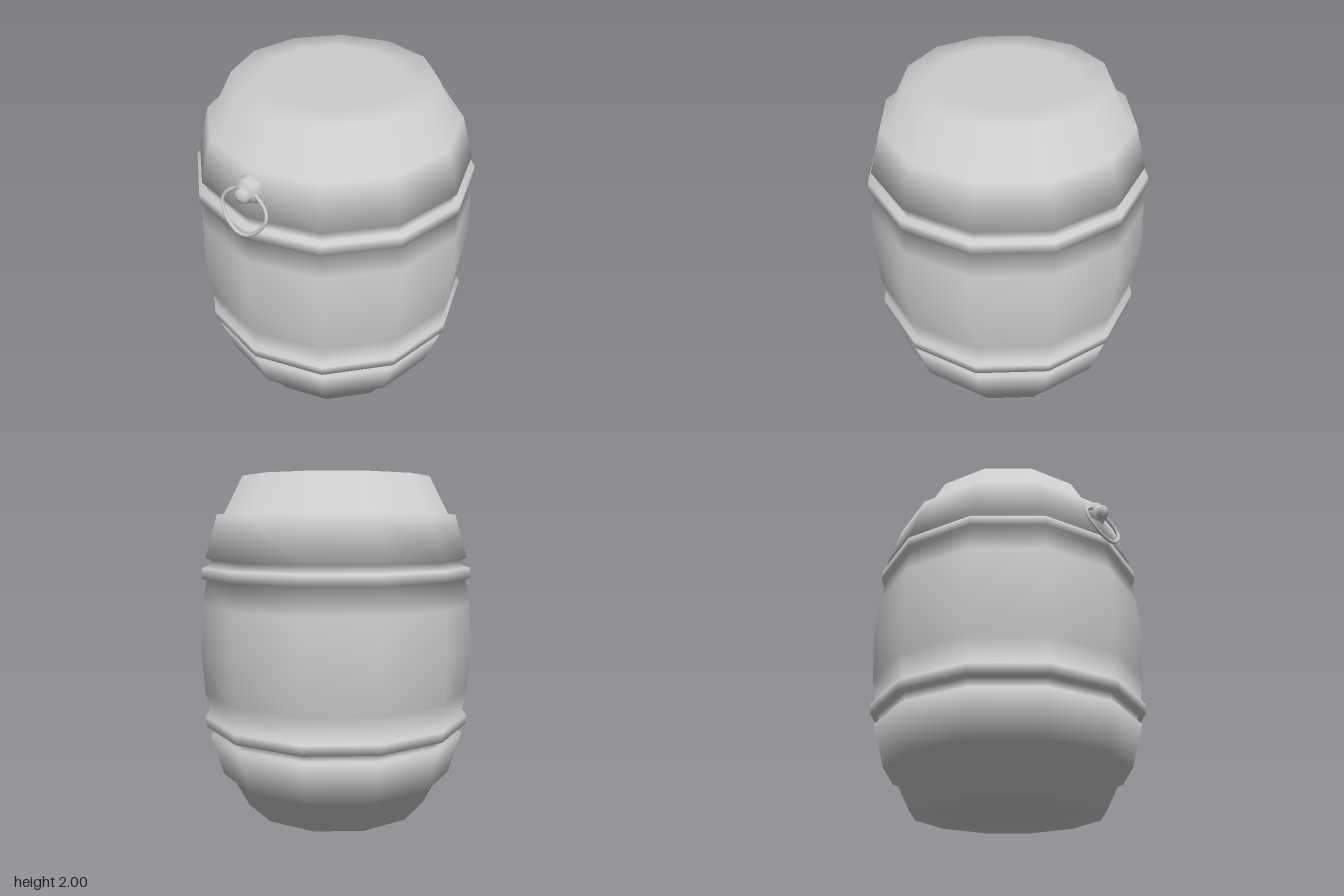
import * as THREE from 'three';

const material = new THREE.MeshStandardMaterial({ color: 0xcccccc });

// Lathe whose normals average neighbouring profile faces equally, so narrow ledges shade softly
function softLathe(profile, sides) {
  const geometry = new THREE.LatheGeometry(profile.map(([r, y]) => new THREE.Vector2(r, y)), sides);
  const faceNormals = profile.slice(1).map(([r, y], i) =>
    new THREE.Vector2(y - profile[i][1], profile[i][0] - r).normalize());
  const count = profile.length;
  const normal = geometry.attributes.normal;
  for (let i = 0; i <= sides; i++) {
    const angle = (i / sides) * Math.PI * 2;
    for (let j = 0; j < count; j++) {
      const n = faceNormals[Math.max(j - 1, 0)].clone()
        .add(faceNormals[Math.min(j, count - 2)]).normalize();
      normal.setXYZ(i * count + j, n.x * Math.sin(angle), n.y, n.x * Math.cos(angle));
    }
  }
  return geometry;
}

function addMesh(parent, name, geometry) {
  const mesh = new THREE.Mesh(geometry, material);
  mesh.name = name;
  parent.add(mesh);
  return mesh;
}

export function createModel() {
  const model = new THREE.Group();
  model.name = 'barrel';

  // Lower half of the cask: end cap, chamfer, wide hoop, narrow hoop, bulging staves
  const lower = [
    [0, 0], [0.4, 0], [0.56, 0], [0.673, 0.22],
    [0.713, 0.22], [0.785, 0.468], [0.757, 0.48],
    [0.765, 0.527], [0.808, 0.527], [0.812, 0.587],
    [0.783, 0.597], [0.81, 0.74],
  ];
  const upper = lower.map(([r, y]) => [r, 2 - y]).reverse();
  addMesh(model, 'caskWithHoops', softLathe([...lower, [0.827, 1], ...upper], 12));

  // Handle on the front of the upper hoop
  const handle = new THREE.Group();
  handle.name = 'ringHandle';
  model.add(handle);

  // Stepped boss that holds the ring
  const boss = addMesh(handle, 'handleBoss', softLathe([
    [0.075, -0.06], [0.075, 0.01], [0.058, 0.03], [0.042, 0.036],
    [0.044, 0.055], [0.03, 0.07], [0, 0.074],
  ], 8));
  boss.rotation.x = Math.PI / 2 + 0.15;
  boss.position.set(0, 1.67, 0.743);

  // Pear-shaped ring hanging from the boss and leaning outwards
  const half = [[0.05, 1.46], [0.115, 1.515], [0.146, 1.58], [0.125, 1.63], [0.06, 1.675]];
  const outline = [
    [0, 1.448], ...half, [0, 1.69],
    ...half.map(([x, y]) => [-x, y]).reverse(),
  ];
  const path = new THREE.CatmullRomCurve3(
    outline.map(([x, y]) => new THREE.Vector3(x, y, 0.82 - (y - 1.45) * 0.27)), true);
  addMesh(handle, 'pullRing', new THREE.TubeGeometry(path, 24, 0.011, 6, true));

  return model;
}
